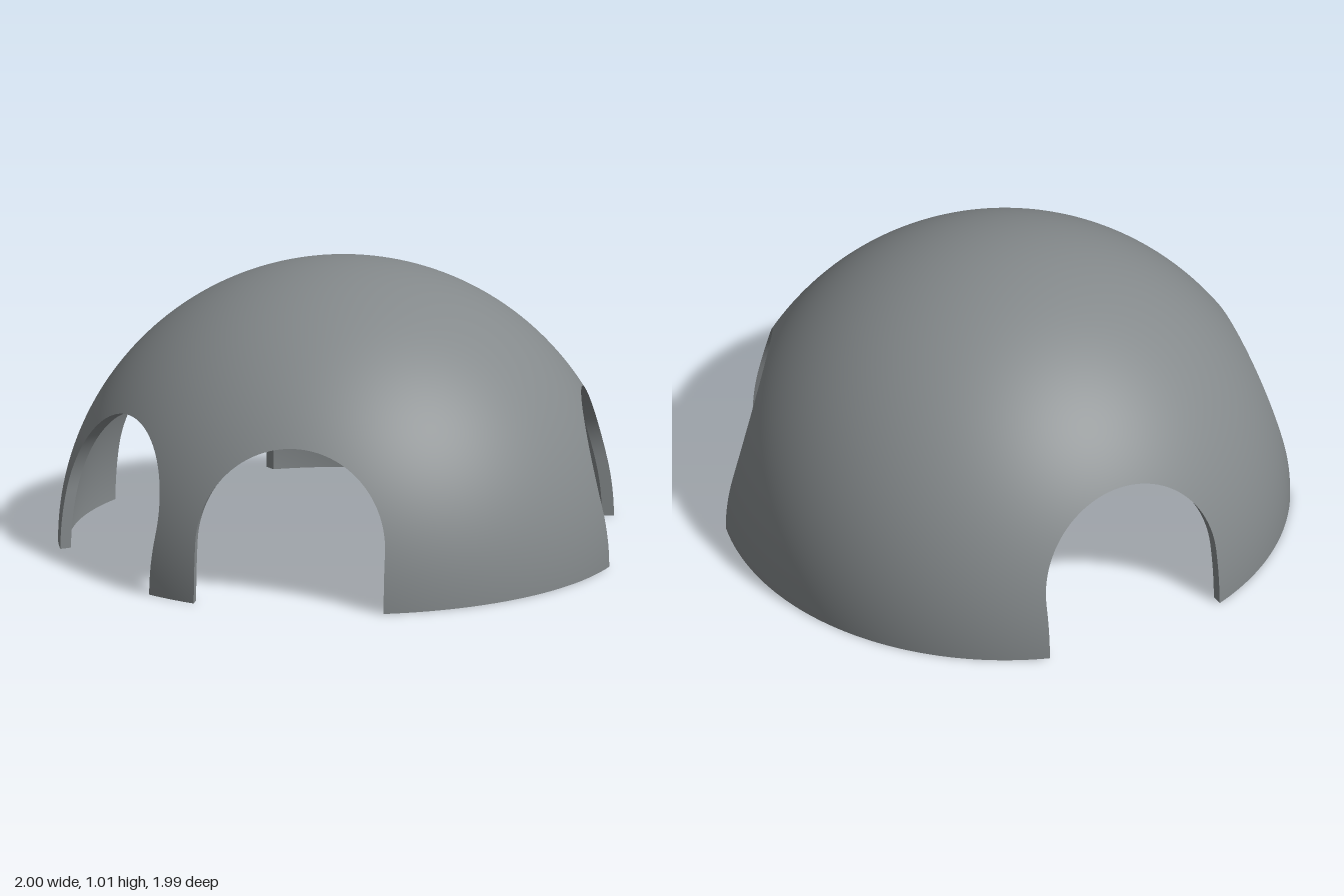
import * as THREE from 'three';

const OUTER = 1.015, INNER = 0.975;       // shell radii
const HALF = 0.345, SPRING = 0.215;       // doorway half width, height where the arch starts
const TOP = SPRING + HALF;
const DOORS = [-55.4, -4.4, 96, 222.9].map(THREE.MathUtils.degToRad); // headings, from +z towards +x

// Heights and half widths of a doorway, from the floor to the arch top
const rows = [];
for (let i = 0; i < 8; i++) rows.push({ y: SPRING * i / 8, h: HALF });
for (let i = 0; i <= 24; i++) {
  const t = Math.PI / 2 * i / 24;
  rows.push({ y: SPRING + HALF * Math.sin(t), h: i === 24 ? 0 : HALF * Math.cos(t) });
}

// Point on a sphere of radius R at height y and heading a
function onSphere(R, y, a) {
  const r = Math.sqrt(Math.max(0, R * R - y * y));
  return new THREE.Vector3(r * Math.sin(a), y, r * Math.cos(a));
}

// Angle a doorway of half width h covers at height y
const spread = (R, y, h) => Math.asin(h / Math.sqrt(R * R - y * y));

// Surface from a grid of points; point(u, v) with whole-number steps
function grid(nu, nv, point, flip = false, round = false) {
  const pos = [], nor = [], index = [];
  for (let u = 0; u <= nu; u++) for (let v = 0; v <= nv; v++) {
    const p = point(u, v);
    pos.push(p.x, p.y, p.z);
    p.normalize().multiplyScalar(flip ? -1 : 1);
    nor.push(p.x, p.y, p.z);
    if (u === nu || v === nv) continue;
    const a = u * (nv + 1) + v, b = a + 1, c = a + nv + 1, d = c + 1;
    if (flip) index.push(a, c, b, b, c, d);
    else index.push(a, b, c, b, d, c);
  }
  const g = new THREE.BufferGeometry();
  g.setAttribute('position', new THREE.Float32BufferAttribute(pos, 3));
  g.setIndex(index);
  if (round) g.setAttribute('normal', new THREE.Float32BufferAttribute(nor, 3));
  else g.computeVertexNormals();
  return g;
}

export function createModel() {
  const model = new THREE.Group();
  model.name = 'dome';
  const grey = new THREE.MeshStandardMaterial({ color: 0x84898b });
  grey.name = 'grey';
  const add = (name, geometry) => {
    const mesh = new THREE.Mesh(geometry, grey);
    mesh.name = name;
    mesh.position.set(0.015, 0, 0.015);
    model.add(mesh);
  };

  const low = rows.length - 1, high = 40;

  DOORS.forEach((start, i) => {
    // Sector of the shell from the middle of this doorway to the next
    const end = i < DOORS.length - 1 ? DOORS[i + 1] : DOORS[0] + Math.PI * 2;
    const cols = Math.ceil((end - start) / 0.03);
    const shellPoint = (R, u, v) => {
      let y, s = 0;
      if (u <= low) {
        y = rows[u].y;
        s = spread(R, y, rows[u].h);
      } else {
        const e = Math.asin(TOP / R);
        y = R * Math.sin(e + (Math.PI / 2 - e) * (u - low) / high);
      }
      return onSphere(R, y, THREE.MathUtils.lerp(start + s, end - s, v / cols));
    };
    add('outerShell', grid(low + high, cols, (u, v) => shellPoint(OUTER, u, v), false, true));
    add('innerShell', grid(low + high, cols, (u, v) => shellPoint(INNER, u, v), true, true));

    // Underside of the wall
    add('baseRim', grid(1, cols, (u, v) => shellPoint(u ? OUTER : INNER, 0, v)));

    // Thickness of the wall around the doorway
    add('doorwayEdge', grid(1, low * 2, (u, v) => {
      const R = u ? OUTER : INNER;
      const { y, h } = rows[v <= low ? v : low * 2 - v];
      return onSphere(R, y, start + (v <= low ? -1 : 1) * spread(R, y, h));
    }));
  });
  return model;
}
